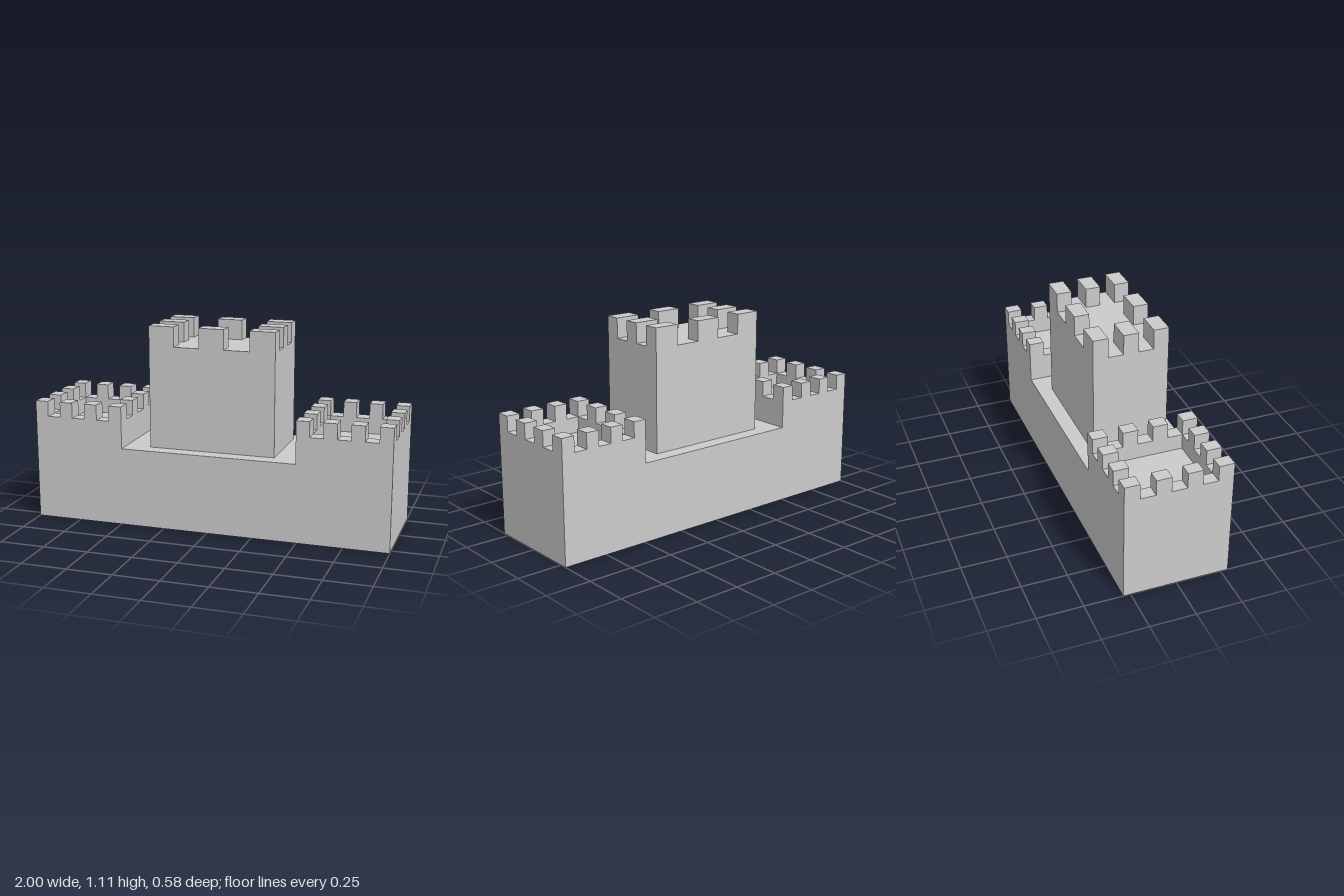
import * as THREE from 'three';

const material = new THREE.MeshStandardMaterial({ color: 0xcccccc, flatShading: true });

function add(parent, name, geometry, x = 0, y = 0, z = 0) {
  const mesh = new THREE.Mesh(geometry, material);
  mesh.name = name;
  mesh.position.set(x, y, z);
  parent.add(mesh);
  return mesh;
}

// Merlons on every other cell along the rim of a rectangle
function addMerlons(parent, width, depth, nx, nz, y, height) {
  const w = width / nx, d = depth / nz;
  const geometry = new THREE.BoxGeometry(w, height, d);
  for (let i = 0; i < nx; i += 2) {
    for (let j = 0; j < nz; j += 2) {
      const onRim = i === 0 || j === 0 || i === nx - 1 || j === nz - 1;
      if (!onRim) continue;
      add(parent, 'merlon', geometry,
        (i + 0.5) * w - width / 2, y + height / 2, (j + 0.5) * d - depth / 2);
    }
  }
}

function rectangle(Type, w, d) {
  return new Type([[-1, -1], [1, -1], [1, 1], [-1, 1]]
    .map(([x, y]) => new THREE.Vector2(x * w / 2, y * d / 2)));
}

export function createModel() {
  const castle = new THREE.Group();
  castle.name = 'castle';

  const depth = 0.58, deckY = 0.435, floorY = 0.5, crenelY = 0.585, topY = 0.67;
  const towerInner = 0.49, towerWidth = 1 - towerInner;

  // Long base, raised at both ends up to the tower floors
  const profile = new THREE.Shape([
    [-1, 0], [1, 0], [1, floorY], [towerInner, floorY], [towerInner, deckY],
    [-towerInner, deckY], [-towerInner, floorY], [-1, floorY],
  ].map(([x, y]) => new THREE.Vector2(x, y)));
  add(castle, 'base', new THREE.ExtrudeGeometry(profile, { depth, bevelEnabled: false }),
    0, 0, -depth / 2);

  // End towers: hollow parapet ring with battlements
  for (const side of [-1, 1]) {
    const tower = new THREE.Group();
    tower.name = side > 0 ? 'leftTower' : 'rightTower';
    tower.position.x = side * (1 + towerInner) / 2;
    const ring = rectangle(THREE.Shape, towerWidth, depth);
    ring.holes.push(rectangle(THREE.Path, towerWidth * 5 / 7, depth * 5 / 7));
    const parapet = new THREE.ExtrudeGeometry(ring, { depth: crenelY - floorY, bevelEnabled: false });
    parapet.rotateX(-Math.PI / 2);
    add(tower, 'parapet', parapet, 0, floorY, 0);
    addMerlons(tower, towerWidth, depth, 7, 7, crenelY, topY - crenelY);
    castle.add(tower);
  }

  // Central keep with a flat roof and larger battlements
  const keep = new THREE.Group();
  keep.name = 'keep';
  const keepWidth = 0.705, keepDepth = 0.415, roofY = 1.0;
  add(keep, 'keepWalls', new THREE.BoxGeometry(keepWidth, roofY - deckY, keepDepth),
    0, (roofY + deckY) / 2, 0);
  addMerlons(keep, keepWidth, keepDepth, 5, 5, roofY, 0.11);
  castle.add(keep);

  return castle;
}
